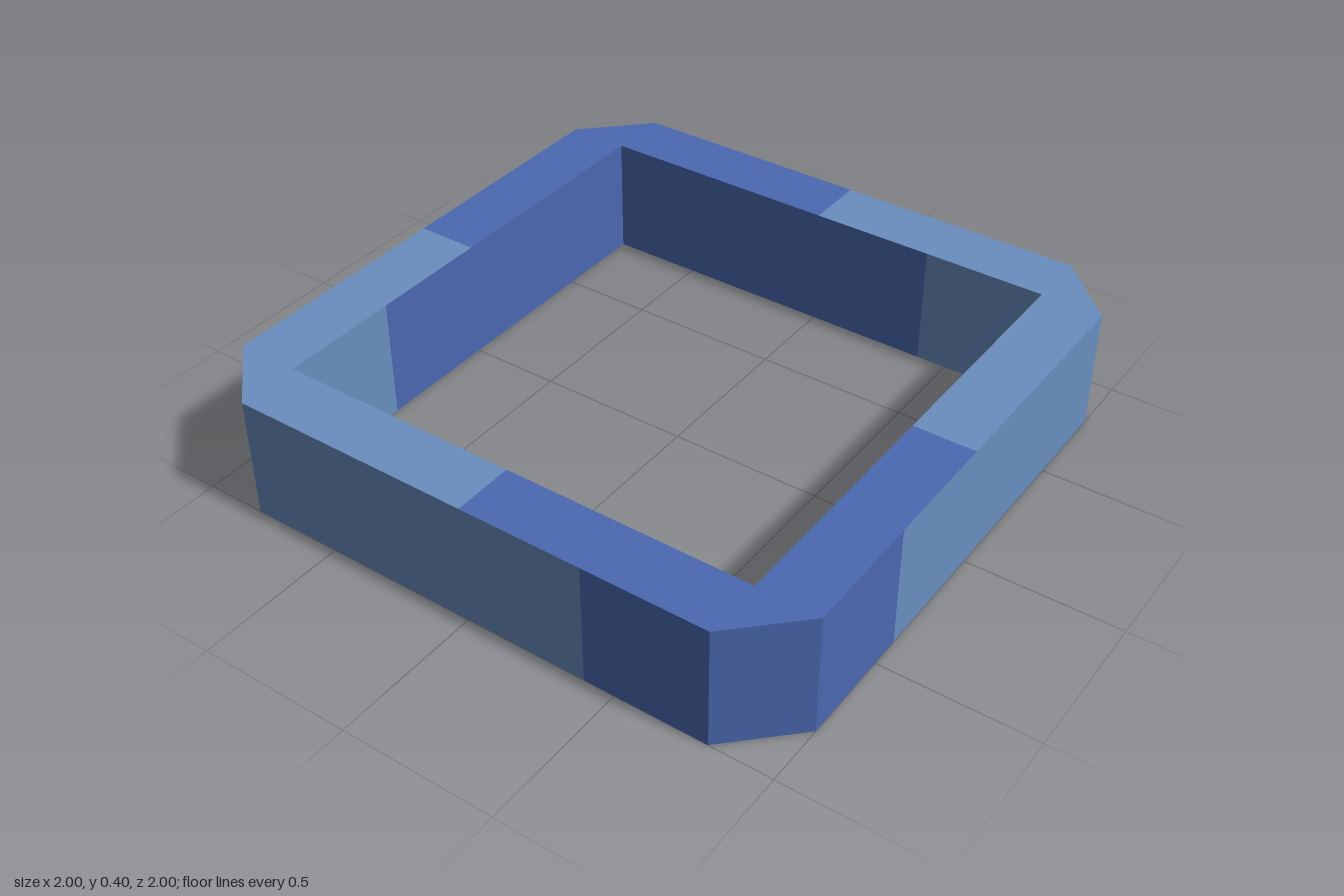
import * as THREE from 'three';

const HEIGHT = 0.4, OUT = 1, IN = 0.8;

// Upright strip of flat quads along a path of [x, z] points, facing the left-to-right side
function wallGeometry(path) {
  const positions = [];
  for (let i = 0; i < path.length - 1; i++) {
    const [ax, az] = path[i], [bx, bz] = path[i + 1];
    positions.push(ax, 0, az, bx, 0, bz, bx, HEIGHT, bz);
    positions.push(ax, 0, az, bx, HEIGHT, bz, ax, HEIGHT, az);
  }
  const geometry = new THREE.BufferGeometry();
  geometry.setAttribute('position', new THREE.Float32BufferAttribute(positions, 3));
  geometry.computeVertexNormals();
  return geometry;
}

// Flat L-shaped cap with a cut corner, facing up (dir 1) or down (dir -1)
function capGeometry(dir) {
  const outline = [[0, IN], [IN, IN], [IN, 0], [OUT, 0], [OUT, IN], [IN, OUT], [0, OUT]];
  const shape = new THREE.Shape(outline.map(([x, z]) => new THREE.Vector2(x, -z * dir)));
  return new THREE.ShapeGeometry(shape).rotateX(-dir * Math.PI / 2);
}

// One quarter of the frame; its outer and inner colours reach to different points along the sides
function quarter(name, material, outerEnd, innerEnd) {
  const group = new THREE.Group();
  group.name = name;
  const add = (part, geometry, y = 0) => {
    const mesh = new THREE.Mesh(geometry, material);
    mesh.name = part;
    mesh.position.y = y;
    group.add(mesh);
  };
  add('topFace', capGeometry(1), HEIGHT);
  add('bottomFace', capGeometry(-1));
  add('outerWall', wallGeometry([[outerEnd, OUT], [IN, OUT], [OUT, IN], [OUT, outerEnd]]));
  add('innerWall', wallGeometry([[IN, innerEnd], [IN, IN], [innerEnd, IN]]));
  return group;
}

export function createModel() {
  const blue = new THREE.MeshStandardMaterial({ color: 0x4b69b1 });
  blue.name = 'deepBlue';
  const steel = new THREE.MeshStandardMaterial({ color: 0x6a8ebf });
  steel.name = 'steelBlue';

  const model = new THREE.Group();
  model.name = 'squareFrame';
  // Colours alternate around the four corners
  const names = ['frontLeftCorner', 'backLeftCorner', 'backRightCorner', 'frontRightCorner'];
  names.forEach((name, i) => {
    const corner = i % 2 === 0 ? quarter(name, blue, 0.4, -0.4) : quarter(name, steel, -0.4, 0.4);
    corner.rotation.y = i * Math.PI / 2;
    model.add(corner);
  });
  return model;
}
